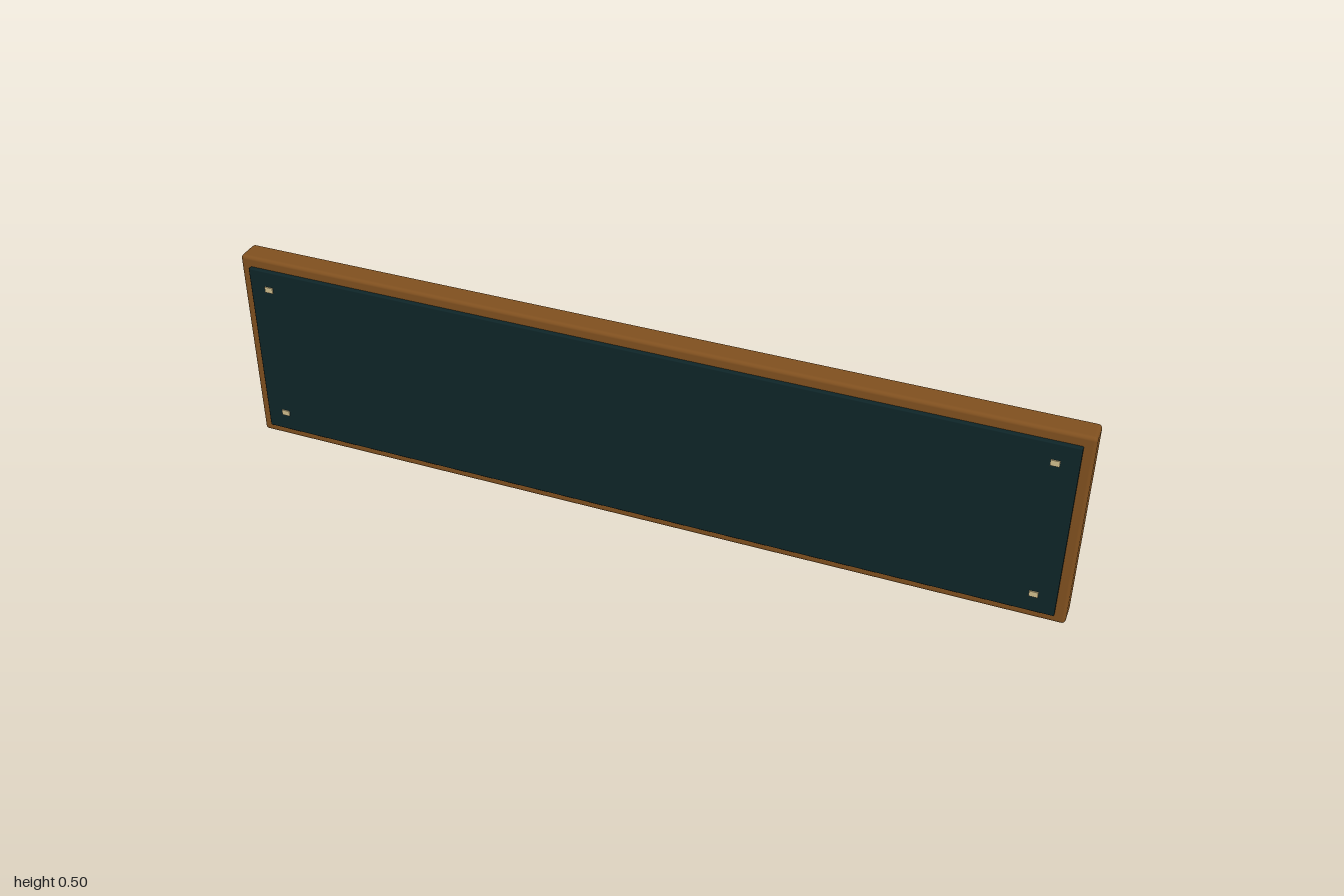
import * as THREE from 'three';
import { RoundedBoxGeometry } from 'three/addons/geometries/RoundedBoxGeometry.js';

export function createModel() {
  const sign = new THREE.Group();
  sign.name = 'signBoard';

  const material = (name, color) => {
    const m = new THREE.MeshStandardMaterial({ color });
    m.name = name;
    return m;
  };
  const wood = material('brown wood', 0x80501f);
  const slate = material('dark teal', 0x0e2528);
  const brass = material('pale brass', 0xd2bf8e);

  const add = (name, geometry, mat, x, y, z) => {
    const mesh = new THREE.Mesh(geometry, mat);
    mesh.name = name;
    mesh.position.set(x, y, z);
    sign.add(mesh);
  };

  // Softly bevelled wooden board
  add('woodenBoard', new RoundedBoxGeometry(2, 0.5, 0.06, 2, 0.009), wood, 0, 0.25, 0);

  // A raised panel with four corner studs on each face
  const panel = new RoundedBoxGeometry(1.95, 0.45, 0.016, 2, 0.003);
  const stud = new THREE.BoxGeometry(0.02, 0.014, 0.01);
  for (const [face, side] of [['front', 1], ['back', -1]]) {
    add(face + 'Panel', panel, slate, 0, 0.25, side * 0.032);
    for (const x of [-0.925, 0.925]) {
      for (const y of [0.075, 0.427]) add(face + 'Stud', stud, brass, x, y, side * 0.038);
    }
  }
  return sign;
}
